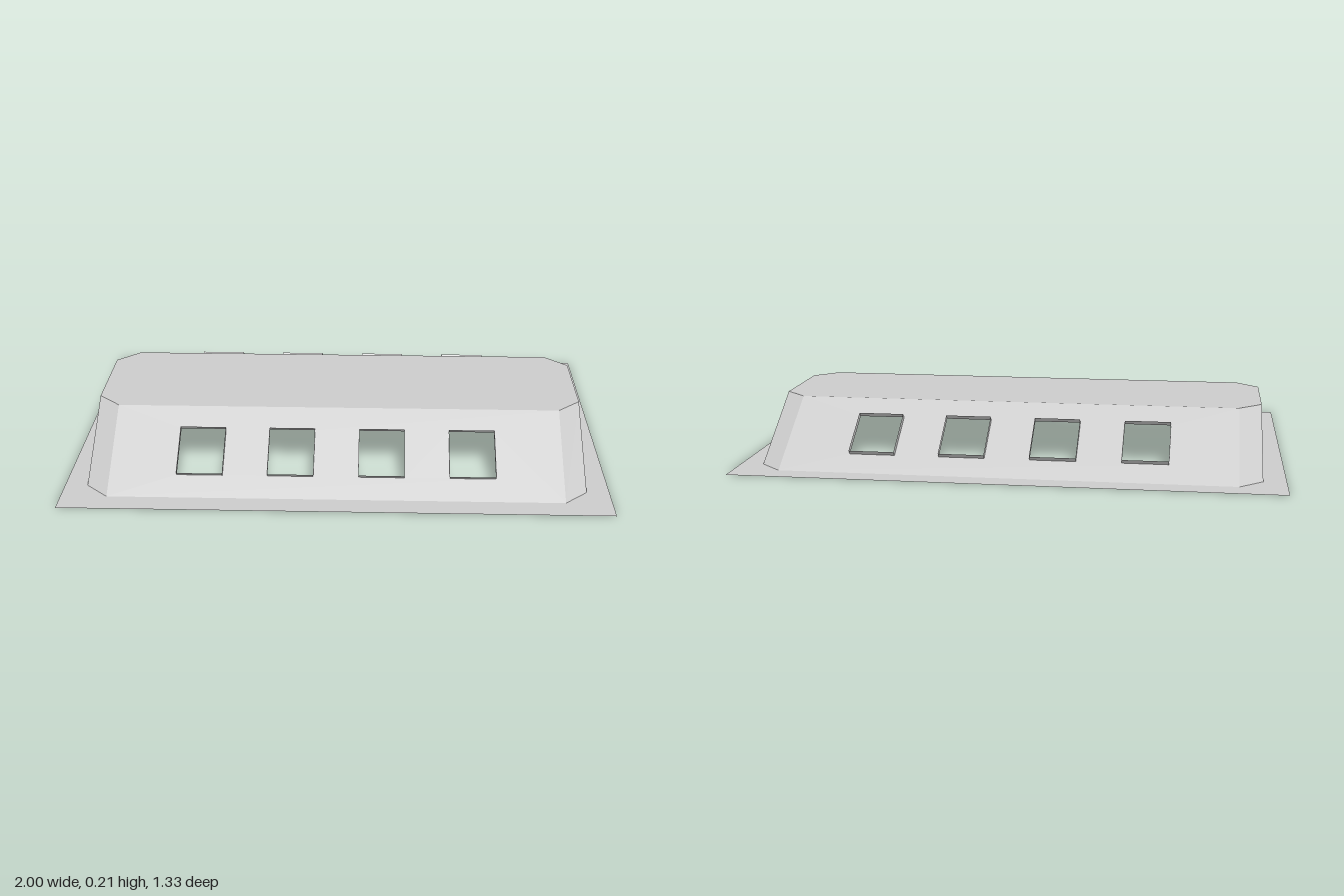
import * as THREE from 'three';

const material = new THREE.MeshStandardMaterial({ color: 0xcccccc, side: THREE.DoubleSide, flatShading: true });

const H = 0.21;                       // roof height
const MAIN_X = 0.832, END_X = 0.917;  // straight part and end wall
const FOOT_Z = 0.58, FOOT_END_Z = 0.5; // footprint depth, main and end
const TOP_Z = 0.25, TOP_END_Z = 0.17;  // flat top depth, main and end

function addMesh(parent, name, geometry) {
  geometry.computeVertexNormals();
  const mesh = new THREE.Mesh(geometry, material);
  mesh.name = name;
  parent.add(mesh);
  return mesh;
}

// Separate four-sided faces, corners counter-clockwise from outside
function quads(list) {
  const points = list.flatMap(([a, b, c, d]) => [a, b, c, a, c, d]);
  const geometry = new THREE.BufferGeometry();
  geometry.setAttribute('position', new THREE.Float32BufferAttribute(points.flat(), 3));
  return geometry;
}

// Rectangle with cut corners, counter-clockwise
function octagon(z, endZ) {
  return [
    [END_X, -endZ], [END_X, endZ], [MAIN_X, z], [-MAIN_X, z],
    [-END_X, endZ], [-END_X, -endZ], [-MAIN_X, -z], [MAIN_X, -z],
  ].map(([x, y]) => new THREE.Vector2(x, y));
}

function rectangle(x0, x1, y0, y1) {
  return [[x0, y0], [x1, y0], [x1, y1], [x0, y1]].map(([x, y]) => new THREE.Vector2(x, y));
}

// Point on the sloping side: t runs from the foot (0) to the top edge (1)
const onSlope = (x, t) => [x, H * t, FOOT_Z + (TOP_Z - FOOT_Z) * t];

// One long sloping side with windows and cut corners
function buildSide() {
  const side = new THREE.Group();
  const windowXs = [-0.5, -0.167, 0.167, 0.5];
  const half = 0.084, t0 = 0.24, t1 = 0.745;

  const shape = new THREE.Shape(rectangle(-MAIN_X, MAIN_X, 0, 1));
  for (const x of windowXs) {
    shape.holes.push(new THREE.Path(rectangle(x - half, x + half, t0, t1)));
  }
  const slope = new THREE.ShapeGeometry(shape);
  const pos = slope.attributes.position;
  for (let i = 0; i < pos.count; i++) pos.setXYZ(i, ...onSlope(pos.getX(i), pos.getY(i)));
  addMesh(side, 'slopingSide', slope);

  // Thin window surrounds standing out of the slope
  const outward = ([x, y, z]) => [x, y + 0.016, z + 0.017];
  windowXs.forEach((x, n) => {
    const ring = rectangle(x - half, x + half, t0, t1).map((p) => onSlope(p.x, p.y));
    const walls = ring.map((a, i) => {
      const b = ring[(i + 1) % 4];
      return [a, b, outward(b), outward(a)];
    });
    addMesh(side, `windowSurround${n + 1}`, quads(walls));
  });

  // Cut corners at both ends
  addMesh(side, 'cornerFacets', quads([
    [[MAIN_X, 0, FOOT_Z], [END_X, 0, FOOT_END_Z], [END_X, H, TOP_END_Z], [MAIN_X, H, TOP_Z]],
    [[-END_X, 0, FOOT_END_Z], [-MAIN_X, 0, FOOT_Z], [-MAIN_X, H, TOP_Z], [-END_X, H, TOP_END_Z]],
  ]));
  return side;
}

export function createModel() {
  const model = new THREE.Group();
  model.name = 'windowedRoof';

  // Flat base flange, open under the roof
  const flange = new THREE.Shape(rectangle(-1, 1, -0.667, 0.667));
  flange.holes.push(new THREE.Path(octagon(FOOT_Z, FOOT_END_Z)));
  addMesh(model, 'baseFlange', new THREE.ShapeGeometry(flange).rotateX(-Math.PI / 2));

  // Flat top
  const top = new THREE.ShapeGeometry(new THREE.Shape(octagon(TOP_Z, TOP_END_Z)));
  addMesh(model, 'flatTop', top.rotateX(-Math.PI / 2).translate(0, H, 0));

  // Long sides, front and back
  ['frontSide', 'backSide'].forEach((name, i) => {
    const side = buildSide();
    side.name = name;
    side.rotation.y = i * Math.PI;
    model.add(side);
  });

  // Upright end walls
  [['leftEnd', 1], ['rightEnd', -1]].forEach(([name, s]) => {
    const x = s * END_X;
    addMesh(model, name, quads([[
      [x, 0, s * FOOT_END_Z], [x, 0, -s * FOOT_END_Z], [x, H, -s * TOP_END_Z], [x, H, s * TOP_END_Z],
    ]]));
  });

  return model;
}
